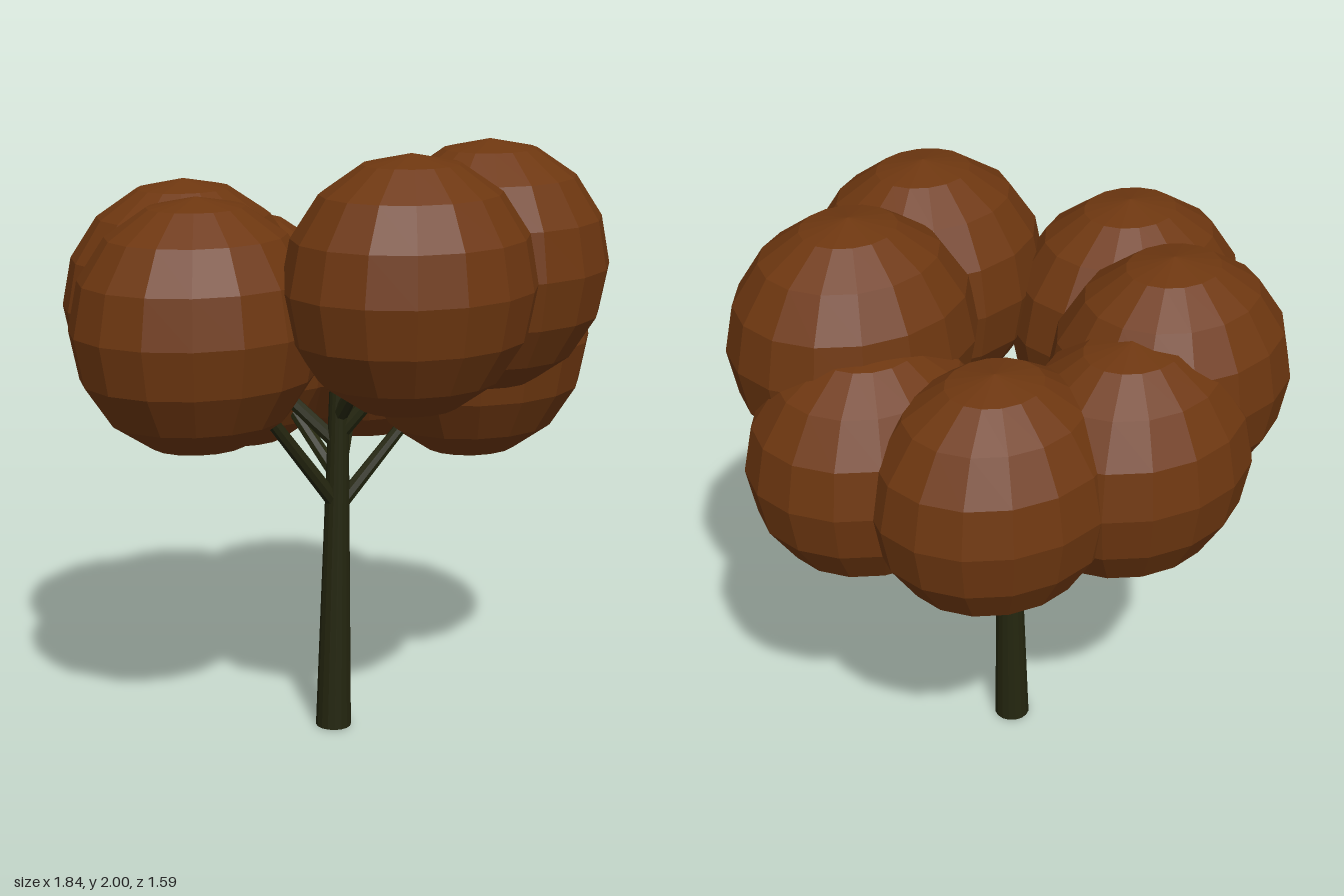
import * as THREE from 'three';

const bark = new THREE.MeshStandardMaterial({ color: 0x24260f, flatShading: true });
bark.name = 'dark bark';
const leaf = new THREE.MeshStandardMaterial({ color: 0x6e3710, flatShading: true });
leaf.name = 'rust brown foliage';

// Foliage clumps: centre, and height at which the branch leaves the trunk
const CLUMPS = [
  { at: [0.51, 1.305, 0.01], from: 0.77 },
  { at: [0.43, 1.593, 0.235], from: 1.02 },
  { at: [0.035, 1.593, 0.437], from: 1.08 },
  { at: [-0.513, 1.45, 0.068], from: 0.78 },
  { at: [-0.395, 1.45, -0.31], from: 0.99 },
  { at: [-0.14, 1.305, -0.443], from: 0.88 },
  { at: [0.305, 1.305, -0.365], from: 0.87 },
];
const RADIUS = 0.407;
const DEPTH = 0.87; // the crown is slightly squashed front to back

// Tapered limb between two points
function limb(name, a, b, r0, r1, sides) {
  const dir = b.clone().sub(a);
  const mesh = new THREE.Mesh(new THREE.CylinderGeometry(r1, r0, dir.length(), sides), bark);
  mesh.name = name;
  mesh.position.copy(a).add(b).multiplyScalar(0.5);
  mesh.quaternion.setFromUnitVectors(new THREE.Vector3(0, 1, 0), dir.normalize());
  return mesh;
}

export function createModel() {
  const tree = new THREE.Group();
  tree.name = 'tree';

  // Slightly leaning trunk
  const base = new THREE.Vector3(-0.007, 0, 0);
  const top = new THREE.Vector3(0.015, 1.25, 0);
  tree.add(limb('trunk', base, top, 0.06, 0.03, 16));

  // One branch and one foliage clump each
  const ball = new THREE.SphereGeometry(RADIUS, 16, 8);
  for (const { at, from } of CLUMPS) {
    const centre = new THREE.Vector3(...at);
    const root = base.clone().lerp(top, from / top.y);
    tree.add(limb('branch', root, centre, 0.026, 0.016, 8));

    const clump = new THREE.Mesh(ball, leaf);
    clump.name = 'foliageClump';
    clump.position.copy(centre);
    clump.scale.z = DEPTH;
    tree.add(clump);
  }
  return tree;
}
